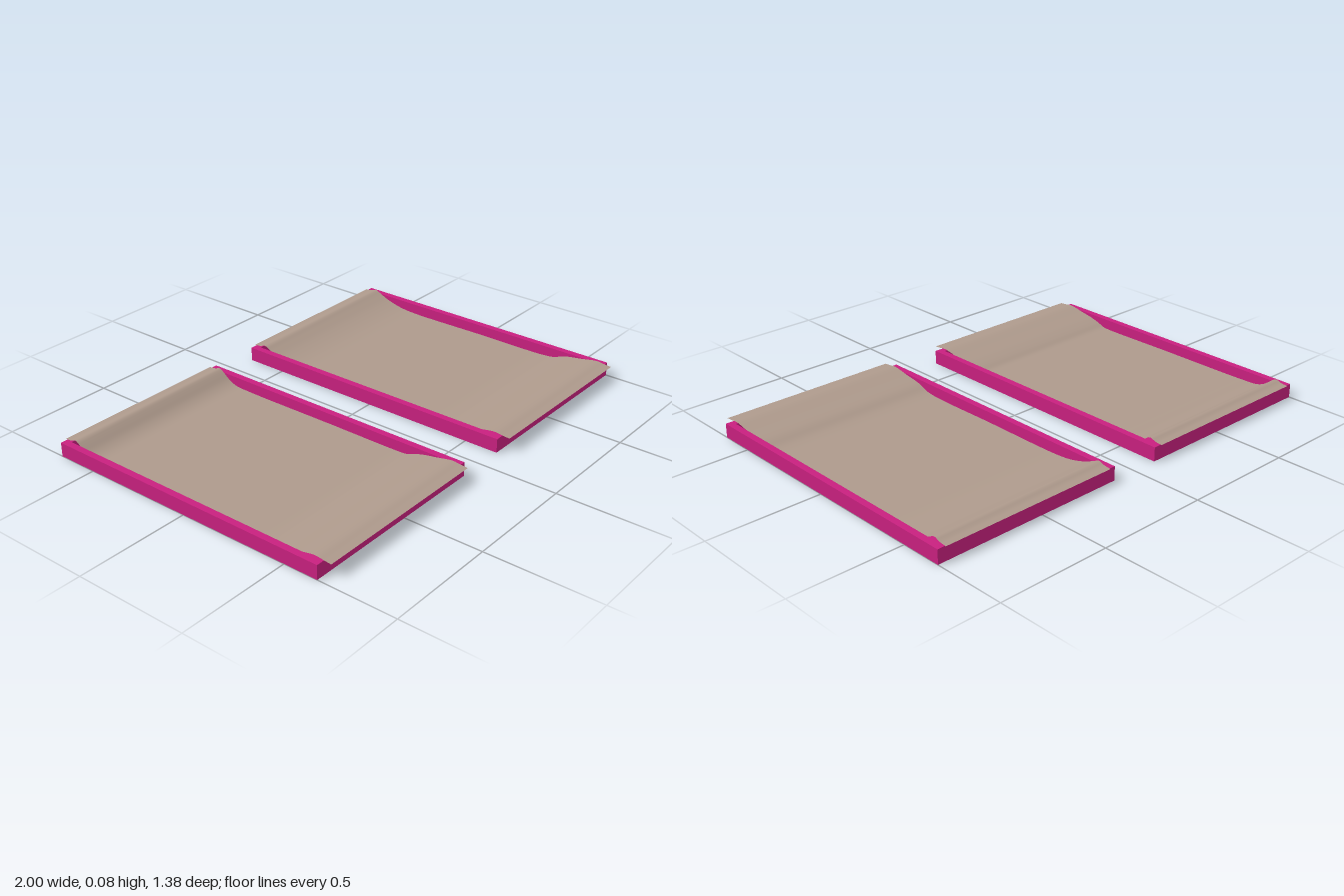
import * as THREE from 'three';

const trayMaterial = new THREE.MeshStandardMaterial({ color: 0xc8207f });
const sheetMaterial = new THREE.MeshStandardMaterial({ color: 0xae9a8c, side: THREE.DoubleSide });

const WIDTH = 0.885, BACK = -0.683, FRONT = 0.653, HEIGHT = 0.062, WALL = 0.03, FLOOR = 0.008;

// Sheet cross-sections, [z, y] from back to front
const rightProfile = [
  [-0.69, 0.064], [-0.655, 0.068], [-0.63, 0.077], [-0.605, 0.062], [-0.57, 0.036], [-0.53, 0.021], [-0.45, 0.017],
  [0, 0.017], [0.37, 0.017], [0.4, 0.02], [0.43, 0.032], [0.48, 0.046], [0.54, 0.057], [0.62, 0.071], [0.655, 0.067], [0.69, 0.064],
];
const leftProfile = [
  [-0.69, 0.064], [-0.655, 0.068], [-0.63, 0.077], [-0.6, 0.064], [-0.55, 0.043], [-0.48, 0.025], [-0.4, 0.017],
  [0, 0.017], [0.34, 0.017], [0.4, 0.024], [0.44, 0.039], [0.46, 0.045], [0.54, 0.058], [0.62, 0.071], [0.655, 0.067], [0.69, 0.064],
];

function createTray() {
  const outline = (x, back, front, Type) => new Type([
    new THREE.Vector2(-x, -front), new THREE.Vector2(x, -front),
    new THREE.Vector2(x, -back), new THREE.Vector2(-x, -back),
  ]);
  const tray = new THREE.Group();
  tray.name = 'tray';

  // Four walls as one extruded frame
  const frame = outline(WIDTH / 2, BACK, FRONT, THREE.Shape);
  frame.holes.push(outline(WIDTH / 2 - WALL, BACK + WALL, FRONT - WALL, THREE.Path));
  const walls = new THREE.Mesh(
    new THREE.ExtrudeGeometry(frame, { depth: HEIGHT, bevelEnabled: false }).rotateX(-Math.PI / 2), trayMaterial);
  walls.name = 'trayWalls';

  // Thin floor panel between the walls
  const floor = new THREE.Mesh(
    new THREE.BoxGeometry(WIDTH - 2 * WALL, FLOOR, FRONT - BACK - 2 * WALL), trayMaterial);
  floor.position.set(0, FLOOR / 2, (FRONT + BACK) / 2);
  floor.name = 'trayFloor';
  tray.add(walls, floor);
  return tray;
}

// Thin sheet lying in the tray and folding over both end walls
function createSheet(profile) {
  const steps = 120;
  const curve = new THREE.CatmullRomCurve3(
    profile.map(([z, y]) => new THREE.Vector3(0, y, z)), false, 'centripetal');
  const points = curve.getSpacedPoints(steps);
  const geometry = new THREE.PlaneGeometry(0.822, 1, 1, steps).rotateX(-Math.PI / 2);
  const position = geometry.attributes.position;
  for (let i = 0; i < position.count; i++) {
    const p = points[Math.floor(i / 2)];
    position.setY(i, p.y);
    position.setZ(i, p.z);
  }
  geometry.computeVertexNormals();
  const sheet = new THREE.Mesh(geometry, sheetMaterial);
  sheet.name = 'sheet';
  return sheet;
}

export function createModel() {
  const model = new THREE.Group();
  model.name = 'linedTrays';
  for (const [name, side, profile] of [['rightTray', -1, rightProfile], ['leftTray', 1, leftProfile]]) {
    const unit = new THREE.Group();
    unit.name = name;
    unit.position.x = side * (1 - WIDTH / 2);
    unit.add(createTray(), createSheet(profile));
    model.add(unit);
  }
  return model;
}
